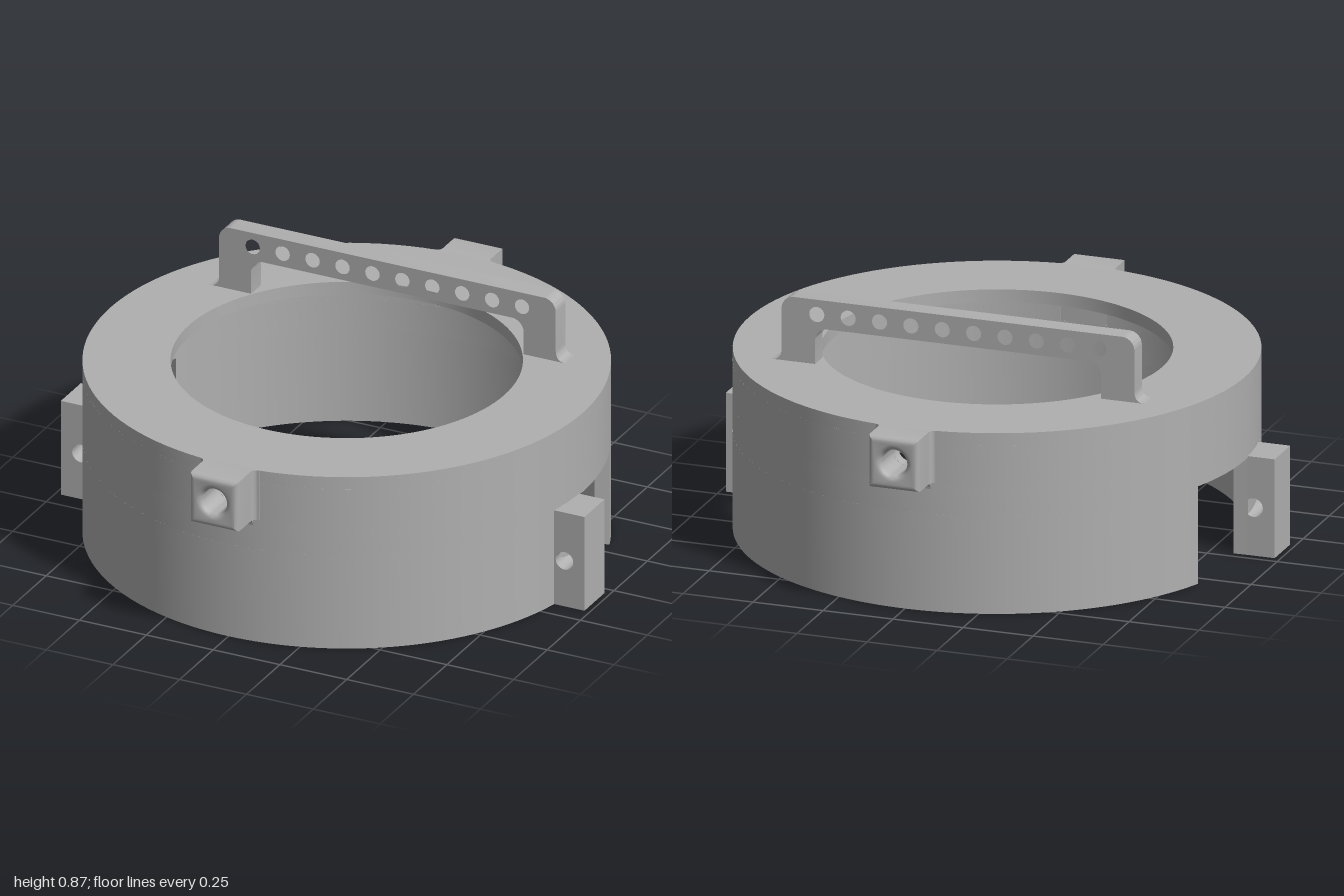
import * as THREE from 'three';
import { toCreasedNormals } from 'three/addons/utils/BufferGeometryUtils.js';

const OUTER = 0.885, INNER = 0.835, BORE = 0.59;
const TOP = 0.64, PLATE_BOTTOM = 0.595, NOTCH_TOP = 0.345;
const BLOCK_W = 0.09, BLOCK_BOTTOM = 0.455, BOLT_Y = 0.55;

export function createModel() {
  const model = new THREE.Group();
  model.name = 'ringHousing';
  const grey = new THREE.MeshStandardMaterial({ color: 0xb0b0b0 });
  grey.name = 'grey';

  const add = (parent, name, geometry) => {
    const mesh = new THREE.Mesh(toCreasedNormals(geometry, 0.5), grey);
    mesh.name = name;
    parent.add(mesh);
    return mesh;
  };
  const extrude = (shape, depth, curveSegments = 12, bevel = 0) =>
    new THREE.ExtrudeGeometry(shape, {
      depth, curveSegments, bevelEnabled: bevel > 0,
      bevelSize: bevel, bevelThickness: bevel, bevelSegments: 4,
    });
  const rect = (x0, y0, x1, y1) => new THREE.Shape([
    new THREE.Vector2(x0, y0), new THREE.Vector2(x1, y0),
    new THREE.Vector2(x1, y1), new THREE.Vector2(x0, y1)]);
  const drill = (shape, x, y, r) => {
    shape.holes.push(new THREE.Path().absarc(x, y, r, 0, Math.PI * 2, true));
    return shape;
  };

  // Plan shapes are raised along y; plan angle runs from +x towards the back
  const raise = (name, shape, y0, y1) =>
    add(model, name, extrude(shape, y1 - y0, 56).rotateX(-Math.PI / 2).translate(0, y0, 0));
  const ring = (inner) =>
    drill(new THREE.Shape().absarc(0, 0, OUTER, 0, Math.PI * 2, false), 0, 0, inner);
  const sector = (a0, a1) => {
    const s = new THREE.Shape();
    s.absarc(0, 0, OUTER, a0, a1, false);
    s.absarc(0, 0, INNER, a1, a0, true);
    s.closePath();
    return s;
  };

  // Lower wall, open at a notch on each side
  const back = 0.352, front = 0.034;
  raise('lowerWallBack', sector(back, Math.PI - back), 0, NOTCH_TOP);
  raise('lowerWallFront', sector(Math.PI + front, 2 * Math.PI - front), 0, NOTCH_TOP);
  // Continuous band, then a band open behind the two bolt blocks
  raise('middleWall', ring(INNER), NOTCH_TOP, BLOCK_BOTTOM);
  const gap = 0.1;
  for (const side of [-1, 1]) {
    const mid = side > 0 ? 0 : Math.PI;
    raise('upperWall', sector(mid - Math.PI / 2 + gap, mid + Math.PI / 2 - gap), BLOCK_BOTTOM, PLATE_BOTTOM);
  }
  raise('topPlate', ring(BORE), PLATE_BOTTOM, TOP);

  // Concave fillet strip: shape x runs along the wall, shape y runs outwards
  const fillet = (length) => {
    const r = 0.022, s = new THREE.Shape();
    s.moveTo(-0.01, -0.015);
    s.lineTo(r, -0.015);
    s.lineTo(r, 0);
    s.quadraticCurveTo(0, 0, 0, r);
    s.lineTo(-0.01, r);
    s.closePath();
    return extrude(s, length, 6).rotateX(Math.PI / 2);
  };

  // Bolt blocks at front and back, drilled through the wall
  for (const turn of [0, Math.PI]) {
    const block = new THREE.Group();
    block.name = turn ? 'backBoltBlock' : 'frontBoltBlock';
    const b = 0.02;
    const body = drill(rect(-BLOCK_W + b, BLOCK_BOTTOM + b, BLOCK_W - b, TOP - b), 0, BOLT_Y, 0.045 + b);
    add(block, 'blockBody', extrude(body, 0.11, 16, b).translate(0, 0, 0.87));
    const root = drill(rect(-BLOCK_W, BLOCK_BOTTOM, BLOCK_W, PLATE_BOTTOM), 0, BOLT_Y, 0.0445);
    add(block, 'blockRoot', extrude(root, 0.042, 16).translate(0, 0, 0.833));
    const height = TOP - BLOCK_BOTTOM;
    add(block, 'leftFillet', fillet(height).translate(BLOCK_W, TOP, 0.879));
    add(block, 'rightFillet', fillet(height).rotateZ(Math.PI).translate(-BLOCK_W, BLOCK_BOTTOM, 0.879));
    add(block, 'lowerFillet', fillet(2 * BLOCK_W).rotateZ(-Math.PI / 2).translate(BLOCK_W, BLOCK_BOTTOM, 0.882));
    block.rotation.y = turn;
    model.add(block);
  }

  // Drilled side tabs beside the notches
  for (const side of [-1, 1]) {
    const [x0, x1] = [0.84 * side, 0.98 * side].sort((p, q) => p - q);
    const tab = drill(rect(x0, 0, x1, 0.35), 0.905 * side, 0.17, 0.033);
    add(model, side > 0 ? 'leftTab' : 'rightTab', extrude(tab, 0.15).translate(0, 0, 0.03));
  }

  // Arched handle with a row of holes and flared feet
  const h = new THREE.Shape();
  const y0 = TOP - 0.01, y1 = 0.868, out = 0.63, inn = 0.51, under = 0.767, r = 0.045;
  h.moveTo(-out - 0.035, y0);
  h.lineTo(-out - 0.035, TOP);
  h.quadraticCurveTo(-out, TOP, -out, TOP + 0.04);
  h.lineTo(-out, y1 - r);
  h.absarc(-out + r, y1 - r, r, Math.PI, Math.PI / 2, true);
  h.absarc(out - r, y1 - r, r, Math.PI / 2, 0, true);
  h.lineTo(out, TOP + 0.04);
  h.quadraticCurveTo(out, TOP, out + 0.035, TOP);
  h.lineTo(out + 0.035, y0);
  h.lineTo(inn, y0);
  h.absarc(inn - r, under - r, r, 0, Math.PI / 2, false);
  h.absarc(-inn + r, under - r, r, Math.PI / 2, Math.PI, false);
  h.lineTo(-inn, y0);
  h.closePath();
  for (let i = 0; i < 10; i++) drill(h, (i - 4.5) * 0.112, 0.816, 0.027);
  add(model, 'handle', extrude(h, 0.072, 10).translate(0, 0, -0.376));

  return model;
}
